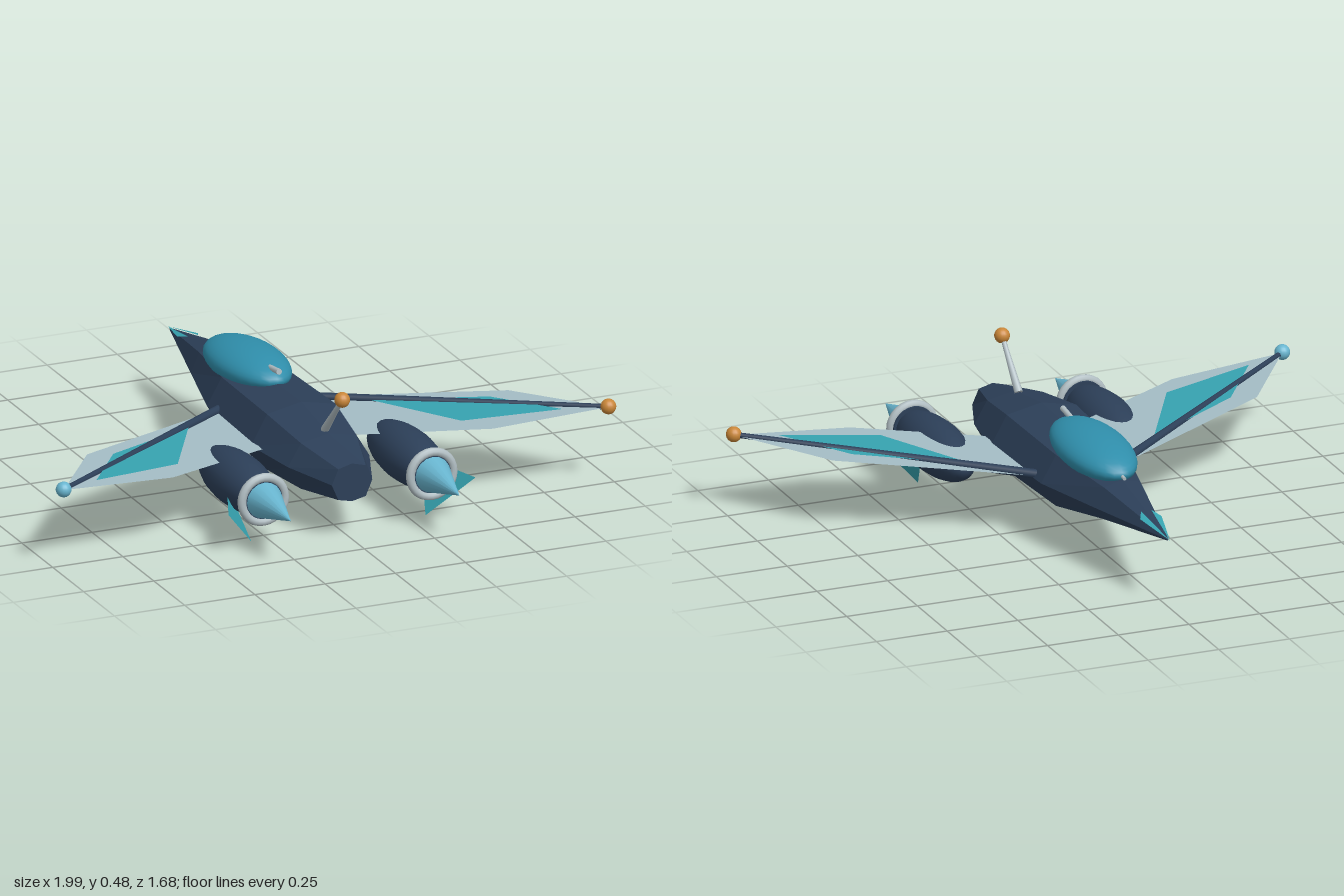
import * as THREE from 'three';

const mat = (name, color, extra = {}) => {
  const m = new THREE.MeshStandardMaterial({ color, ...extra });
  m.name = name;
  return m;
};

export function createModel() {
  const model = new THREE.Group();
  model.name = 'spacecraft';
  const navy = mat('navy hull', 0x2c3f58);
  const navyFlat = navy.clone();
  navyFlat.flatShading = true;
  const glass = mat('canopy blue', 0x2f8eab);
  const teal = mat('teal paint', 0x36a3b0, { side: THREE.DoubleSide });
  const pale = mat('pale wing', 0xa4bcc5, { side: THREE.DoubleSide });
  const grey = mat('light grey metal', 0xb0bdc2);
  const flame = mat('light blue', 0x68b5cf);
  const amber = mat('amber', 0xc98638);

  const add = (name, geo, material, x = 0, y = 0, z = 0, parent = model) => {
    const m = new THREE.Mesh(geo, material);
    m.name = name;
    m.position.set(x, y, z);
    parent.add(m);
    return m;
  };

  // Tapered rod between two points
  const rod = (name, a, b, ra, rb, material, parent = model) => {
    const p = new THREE.Vector3(...a), q = new THREE.Vector3(...b);
    const d = q.clone().sub(p);
    const m = add(name, new THREE.CylinderGeometry(rb, ra, d.length(), 10), material, 0, 0, 0, parent);
    m.position.copy(p).add(q).multiplyScalar(0.5);
    m.quaternion.setFromUnitVectors(new THREE.Vector3(0, 1, 0), d.normalize());
    return m;
  };

  // Single triangle
  const triangle = (pts) => {
    const g = new THREE.BufferGeometry();
    g.setAttribute('position', new THREE.Float32BufferAttribute(pts.flat(), 3));
    g.computeVertexNormals();
    return g;
  };

  // Hull: eight-sided sections along z as [z, half width, top, middle, bottom]
  const sections = [
    [-0.82, 0.003, 0.24, 0.236, 0.232],
    [-0.44, 0.095, 0.31, 0.226, 0.174],
    [-0.15, 0.165, 0.335, 0.22, 0.117],
    [0.24, 0.18, 0.342, 0.215, 0.105],
    [0.46, 0.145, 0.306, 0.21, 0.112],
    [0.65, 0.072, 0.266, 0.2, 0.135],
  ];
  const pos = [], idx = [], n = 8;
  for (const [z, w, top, mid, bot] of sections) {
    const t = top - mid, b = bot - mid;
    pos.push(
      w, mid, z, w * 0.68, mid + t * 0.8, z, 0, top, z, -w * 0.68, mid + t * 0.8, z,
      -w, mid, z, -w * 0.68, mid + b * 0.83, z, 0, bot, z, w * 0.68, mid + b * 0.83, z);
  }
  for (let i = 0; i < sections.length - 1; i++) {
    for (let j = 0; j < n; j++) {
      const a = i * n + j, b = i * n + (j + 1) % n;
      idx.push(a, b, a + n, b, b + n, a + n);
    }
  }
  const last = (sections.length - 1) * n;
  for (let j = 1; j < n - 1; j++) {
    idx.push(last, last + j, last + j + 1);
    idx.push(0, j + 1, j);
  }
  const hull = new THREE.BufferGeometry();
  hull.setAttribute('position', new THREE.Float32BufferAttribute(pos, 3));
  hull.setIndex(idx);
  hull.computeVertexNormals();
  add('hull', hull, navyFlat);

  // Canopy with the rod running through it
  const canopy = add('canopy', new THREE.SphereGeometry(1, 28, 18), glass, 0, 0.333, -0.197);
  canopy.scale.set(0.117, 0.066, 0.247);
  canopy.rotation.x = -0.04;
  rod('canopyRod', [0, 0.385, 0.06], [0, 0.32, -0.46], 0.01, 0.006, grey);

  // Rear antenna
  rod('antenna', [0, 0.31, 0.43], [0, 0.46, 0.57], 0.014, 0.007, grey);
  add('antennaBall', new THREE.SphereGeometry(0.026, 16, 12), amber, 0, 0.46, 0.57);

  // Thin wing surface from (x, z) corners, rising gently towards the tip
  const wingY = (x) => 0.225 + 0.06 * (Math.abs(x) - 0.16);
  const plate = (pts, s, lift) => {
    const shape = new THREE.Shape(pts.map(([x, z]) => new THREE.Vector2(s * x, z)));
    const g = new THREE.ShapeGeometry(shape);
    const p = g.attributes.position;
    for (let i = 0; i < p.count; i++) {
      p.setXYZ(i, p.getX(i), wingY(p.getX(i)) + lift, p.getY(i));
    }
    g.computeVertexNormals();
    return g;
  };

  for (const s of [1, -1]) {
    const side = s > 0 ? 'left' : 'right';

    // Nose stripe
    add(side + 'NoseStripe', triangle([
      [0, 0.239, -0.84], [s * 0.018, 0.274, -0.64], [s * 0.038, 0.263, -0.68]]), teal);

    // Wing
    const wing = new THREE.Group();
    wing.name = side + 'Wing';
    model.add(wing);
    add('wingMembrane', plate(
      [[0.15, -0.095], [0.75, 0.21], [0.97, 0.52], [0.57, 0.495], [0.17, 0.31]], s, 0), pale, 0, 0, 0, wing);
    add('wingPanel', plate(
      [[0.32, 0.055], [0.67, 0.24], [0.83, 0.468], [0.505, 0.387]], s, 0.005), teal, 0, 0, 0, wing);
    rod('wingSpar', [s * 0.15, 0.228, -0.085], [s * 0.97, 0.275, 0.52], 0.016, 0.009, navy, wing);
    add('wingTipLight', new THREE.SphereGeometry(0.026, 16, 12), s > 0 ? amber : flame,
      s * 0.97, 0.276, 0.52, wing);

    // Engine
    const engine = new THREE.Group();
    engine.name = side + 'Engine';
    engine.position.set(s * 0.3, 0.173, 0);
    model.add(engine);
    const pod = add('enginePod', new THREE.SphereGeometry(1, 24, 18), navy, 0, 0, 0.415, engine);
    pod.rotation.x = Math.PI / 2;
    pod.scale.set(0.091, 0.255, 0.088);
    const collar = add('engineCollar', new THREE.CylinderGeometry(0.074, 0.074, 0.03, 24), navy, 0, 0, 0.607, engine);
    collar.rotation.x = Math.PI / 2;
    add('nozzleRing', new THREE.TorusGeometry(0.076, 0.015, 10, 28), grey, 0, 0, 0.613, engine);
    const cone = add('exhaustCone', new THREE.ConeGeometry(0.062, 0.215, 16), flame, 0, 0, 0.73, engine);
    cone.rotation.x = Math.PI / 2;

    // Fin below the engine
    add(side + 'Fin', triangle([
      [s * 0.44, 0.152, 0.65], [s * 0.31, 0.003, 0.54], [s * 0.345, 0.165, 0.42]]), teal);
  }
  return model;
}
